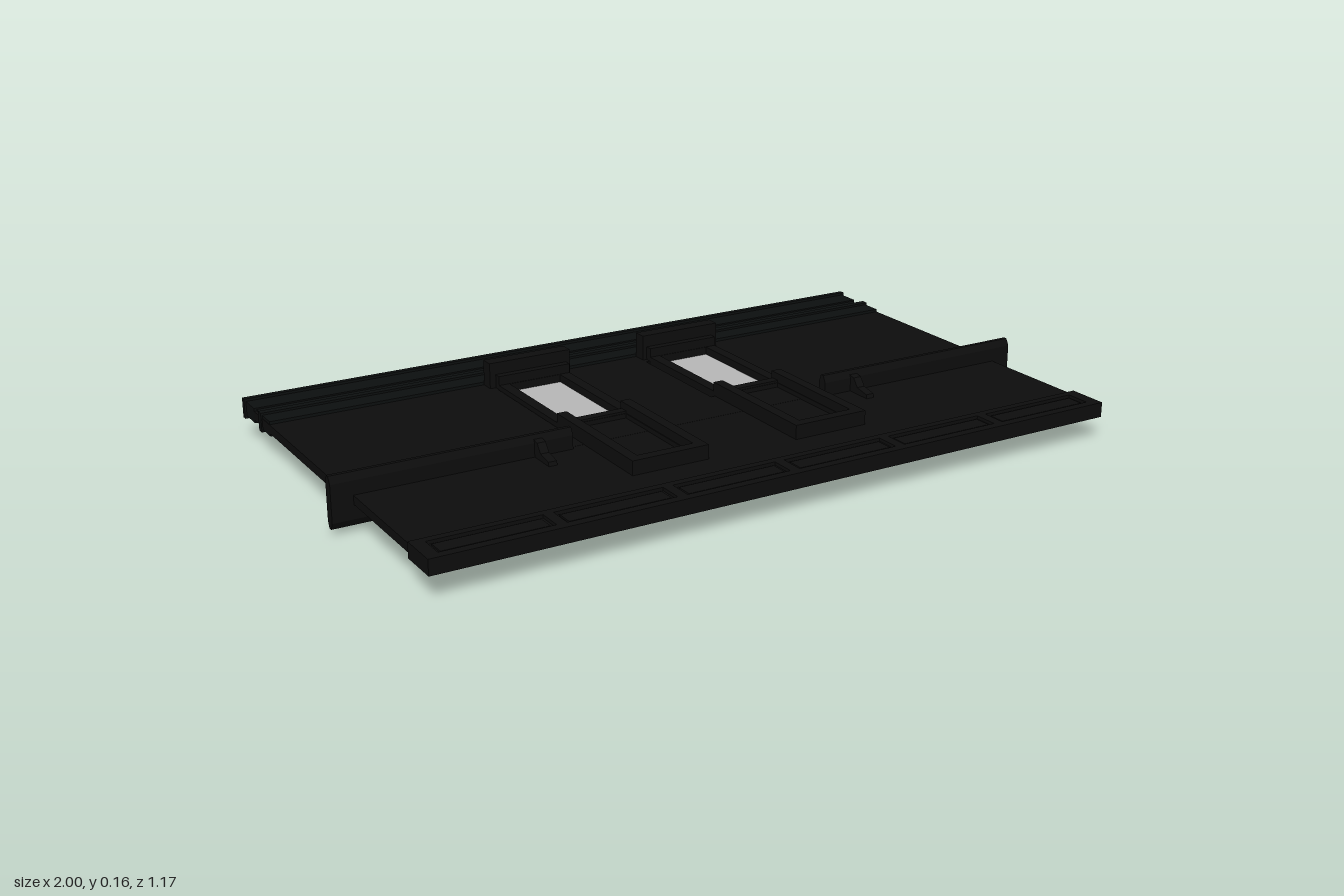
import * as THREE from 'three';

const MID = 0.083; // mid-plane height of the wall panel

export function createModel() {
  const model = new THREE.Group();
  model.name = 'wallPanel';
  const black = new THREE.MeshStandardMaterial({ color: 0x0d0d0d });
  black.name = 'black paint';
  const trim = new THREE.MeshStandardMaterial({ color: 0x0c0f0f });
  trim.name = 'dark trim';
  const glass = new THREE.MeshStandardMaterial({ color: 0xb8b8b8 });
  glass.name = 'pale glass';

  const add = (name, geo, mat = black) => {
    const mesh = new THREE.Mesh(geo, mat);
    mesh.name = name;
    model.add(mesh);
    return mesh;
  };
  // box from x and z ranges, centred on the mid-plane with half thickness h
  const slab = (name, x0, x1, z0, z1, h, mat) => {
    const m = add(name, new THREE.BoxGeometry(x1 - x0, h * 2, z1 - z0), mat);
    m.position.set((x0 + x1) / 2, MID, (z0 + z1) / 2);
    return m;
  };
  const rect = (path, x0, x1, z0, z1) => {
    path.moveTo(x0, -z0);
    path.lineTo(x0, -z1);
    path.lineTo(x1, -z1);
    path.lineTo(x1, -z0);
    path.closePath();
    return path;
  };
  // flat plate in the x-z plane with rectangular holes
  const plate = (name, outer, holes, h, mat) => {
    const s = rect(new THREE.Shape(), ...outer);
    holes.forEach((r) => s.holes.push(rect(new THREE.Path(), ...r)));
    const g = new THREE.ExtrudeGeometry(s, { depth: 2 * h, bevelEnabled: false });
    g.rotateX(-Math.PI / 2).translate(0, MID - h, 0);
    return add(name, g, mat);
  };
  // profile of (z, y offset) points swept along x
  const sweep = (name, points, x0, x1, mat) => {
    const s = new THREE.Shape(points.map(([z, y]) => new THREE.Vector2(-z, y)));
    const g = new THREE.ExtrudeGeometry(s, { depth: x1 - x0, bevelEnabled: false });
    g.rotateY(Math.PI / 2).translate(x0, MID, 0);
    return add(name, g, mat);
  };

  // wall with two window openings
  plate('wall', [-0.953, 0.953, -0.57, 0.14],
    [[-0.34, -0.115, -0.335, 0.005], [0.115, 0.34, -0.335, 0.005]], 0.012);
  slab('lowerWall', -0.945, 0.945, 0.14, 0.57, 0.0115);

  // baseboard with six recessed panels
  const panels = [];
  for (let i = 0; i < 6; i++) {
    const x = -0.775 + i * 0.31;
    panels.push([x - 0.142, x + 0.142, 0.495, 0.56]);
  }
  plate('baseboard', [-0.95, 0.95, 0.475, 0.583], panels, 0.02);
  panels.forEach(([a, b, c, d]) =>
    slab('baseboardPanel', a + 0.01, b - 0.01, c + 0.01, d - 0.01, 0.016));

  // cornice mouldings
  slab('corniceCap', -0.958, 0.958, -0.583, -0.568, 0.027, trim);
  slab('corniceBand', -0.953, 0.953, -0.568, -0.505, 0.02, trim);
  slab('corniceNeck', -0.946, 0.946, -0.505, -0.465, 0.016, trim);
  slab('corniceBead', -0.956, 0.956, -0.465, -0.445, 0.026, trim);
  slab('corniceFoot', -0.952, 0.952, -0.445, -0.39, 0.02, trim);

  for (const s of [-1, 1]) {
    const span = (a, b) => (s > 0 ? [a, b] : [-b, -a]);

    // window glazing and door-like surround
    slab('glass', ...span(0.115, 0.34), -0.335, 0.005, 0.003, glass);
    plate('surround', [...span(0.127, 0.338), -0.35, 0.38],
      [[...span(0.157, 0.308), -0.33, 0.003], [...span(0.157, 0.308), 0.03, 0.35]], 0.024);
    for (const [a, b] of [[0.127, 0.155], [0.31, 0.338]])
      slab('surroundPost', ...span(a, b), -0.002, 0.38, 0.049);
    slab('surroundBottom', ...span(0.127, 0.338), 0.352, 0.38, 0.049);
    slab('surroundSill', ...span(0.127, 0.338), 0.003, 0.028, 0.03);
    slab('surroundHead', ...span(0.127, 0.338), -0.352, -0.332, 0.049);
    slab('lintel', ...span(0.115, 0.355), -0.39, -0.352, 0.082);

    // projecting rail running past the wall end
    sweep('rail', [[0.128, -0.048], [0.137, -0.066], [0.15, -0.066], [0.162, -0.048],
      [0.162, 0.048], [0.15, 0.066], [0.137, 0.066], [0.128, 0.048]].map(([z, y]) =>
      [0.14 + (z - 0.145) * 0.8, y]), ...span(0.375, 1));

    // small tapered brackets below the rail on both faces
    for (const f of [-1, 1]) {
      const pts = [[0.148, 0], [0.23, 0], [0.225, 0.022], [0.185, 0.03], [0.168, 0.052], [0.148, 0.056]];
      sweep('bracket', pts.map(([z, y]) => [z, y * f]), ...span(0.457, 0.48));
    }
  }
  return model;
}
